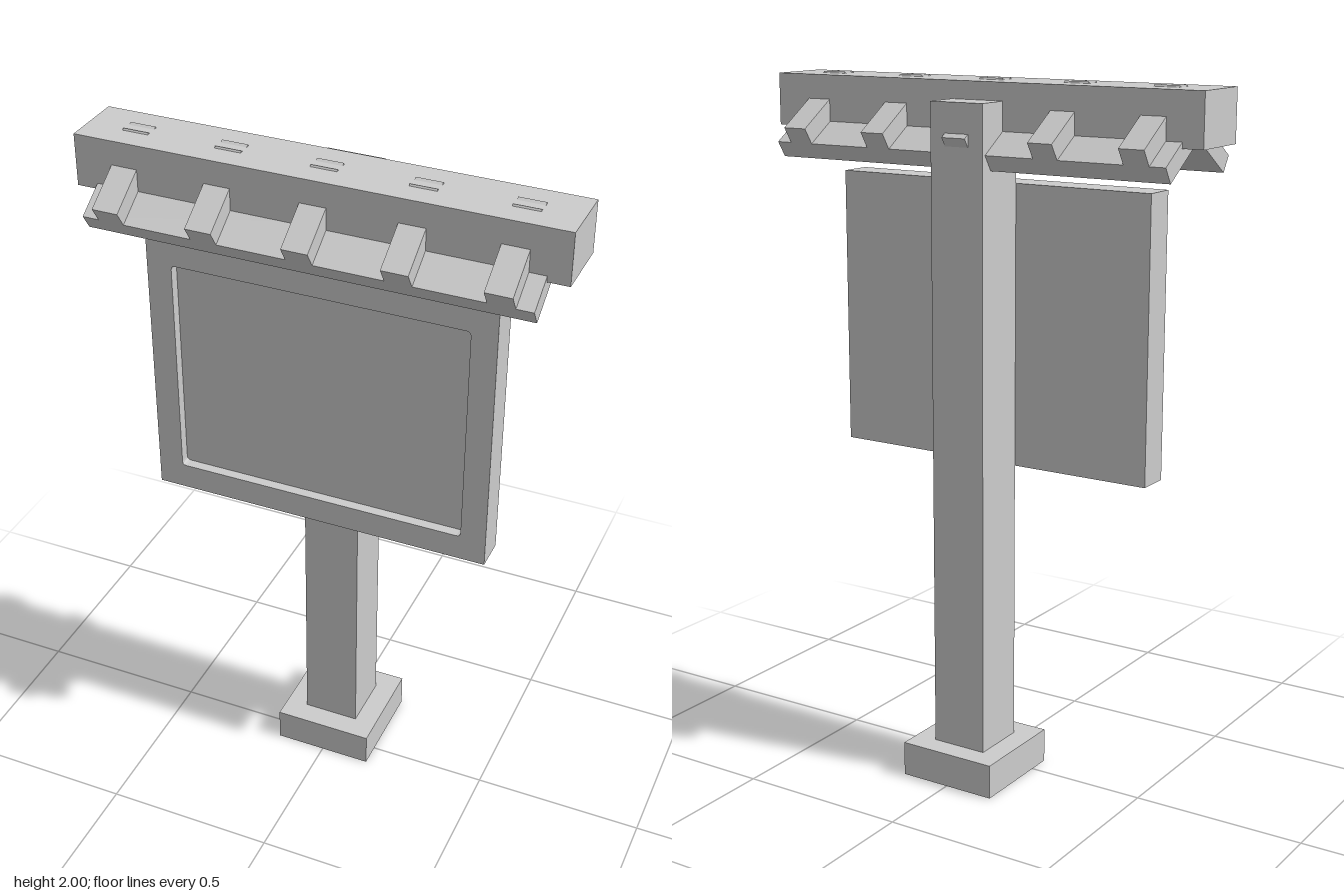
import * as THREE from 'three';

const grey = new THREE.MeshStandardMaterial({ color: 0xcccccc });
grey.name = 'light grey';

function add(group, name, geometry) {
  const mesh = new THREE.Mesh(geometry, grey);
  mesh.name = name;
  group.add(mesh);
  return mesh;
}

// Box given by its limits along each axis
function box(group, name, [x0, x1], [y0, y1], [z0, z1]) {
  const mesh = add(group, name, new THREE.BoxGeometry(x1 - x0, y1 - y0, z1 - z0));
  mesh.position.set((x0 + x1) / 2, (y0 + y1) / 2, (z0 + z1) / 2);
  return mesh;
}

// Rectangular outline with small corner radius
function outline(path, w, y0, y1, r) {
  path.moveTo(-w + r, y0);
  path.lineTo(w - r, y0);
  path.quadraticCurveTo(w, y0, w, y0 + r);
  path.lineTo(w, y1 - r);
  path.quadraticCurveTo(w, y1, w - r, y1);
  path.lineTo(-w + r, y1);
  path.quadraticCurveTo(-w, y1, -w, y1 - r);
  path.lineTo(-w, y0 + r);
  path.quadraticCurveTo(-w, y0, -w + r, y0);
  return path;
}

// One slope of the canopy: a long board with rafters lying on it
function createSlope(name) {
  const slope = new THREE.Group();
  slope.name = name;
  const length = 0.272, thick = 0.052;
  // local origin is the upper outer corner of the rafters, +z runs down the slope
  box(slope, 'roofBoard', [-0.62, 0.62], [-2 * thick, -thick], [-length + 0.03, 0]);
  for (let i = -2; i <= 2; i++) {
    const x = i * 0.268;
    box(slope, 'rafter', [x - 0.037, x + 0.037], [-thick, 0], [-length, 0]);
  }
  slope.rotation.x = Math.atan2(0.148, 0.228);
  slope.position.set(0, 1.852, 0.208);
  return slope;
}

export function createModel() {
  const model = new THREE.Group();
  model.name = 'signpost';

  // Foot and post
  box(model, 'base', [-0.148, 0.148], [0, 0.1], [-0.233, 0.067]);
  box(model, 'post', [-0.083, 0.083], [0.1, 1.945], [-0.167, 0]);

  // Board with a raised frame around a recessed panel
  box(model, 'boardPanel', [-0.5, 0.5], [0.92, 1.72], [0, 0.065]);
  const frame = outline(new THREE.Shape(), 0.5, 0.92, 1.72, 0);
  frame.holes.push(outline(new THREE.Path(), 0.427, 0.995, 1.648, 0.012));
  add(model, 'boardFrame', new THREE.ExtrudeGeometry(frame, {
    depth: 0.03, bevelEnabled: false, curveSegments: 3,
  })).position.z = 0.065;

  // Canopy: ridge beam with a slope on either side
  const canopy = new THREE.Group();
  canopy.name = 'canopy';
  canopy.position.z = 0.025;
  box(canopy, 'ridgeBeam', [-0.68, 0.68], [1.848, 1.995], [-0.093, 0.093]);
  canopy.add(createSlope('frontSlope'));
  const back = new THREE.Group();
  back.name = 'backSide';
  back.rotation.y = Math.PI;
  back.add(createSlope('backSlope'));
  canopy.add(back);
  model.add(canopy);

  return model;
}
